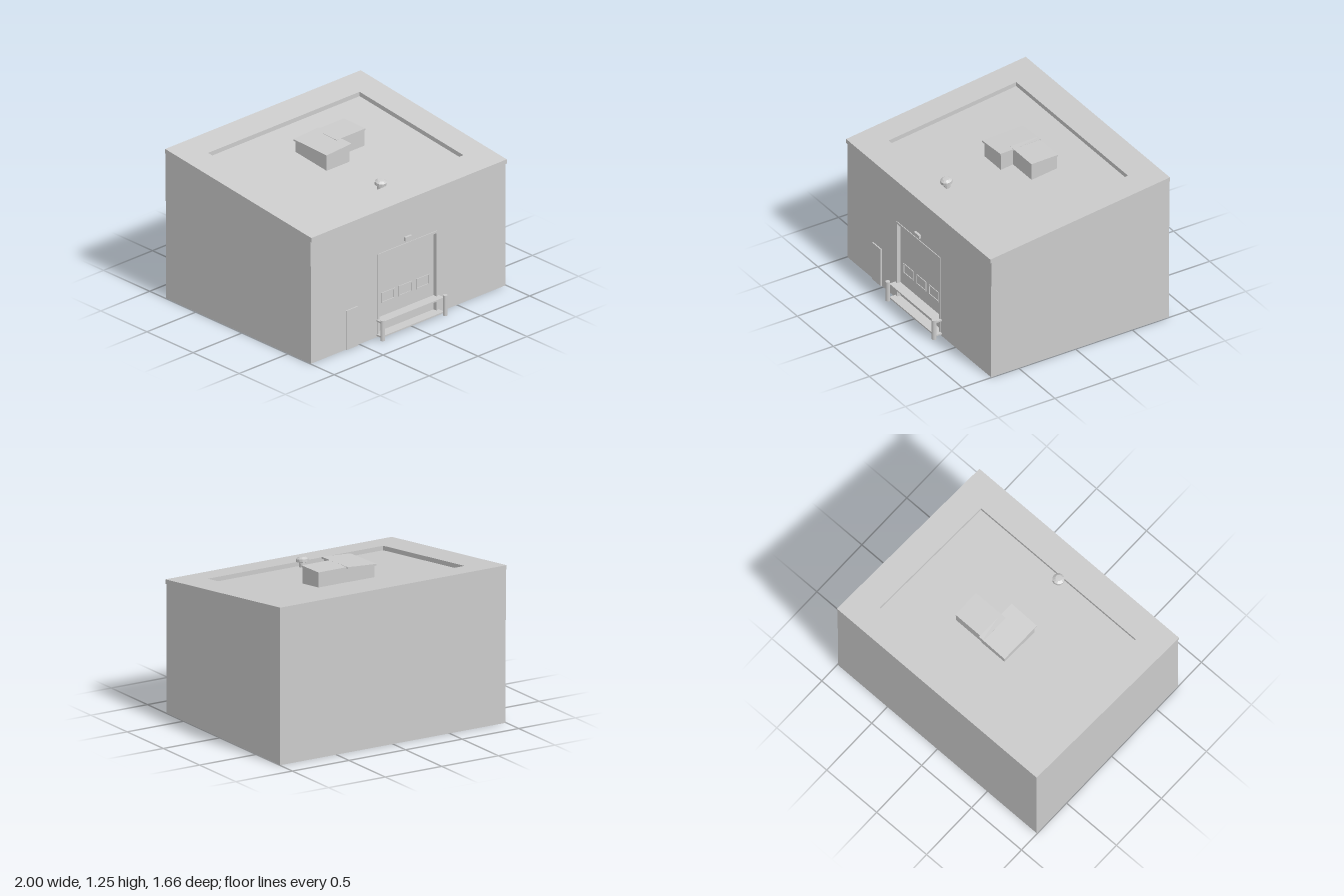
import * as THREE from 'three';

const FRONT = 0.742, BACK = -0.83, SPLIT = 0.8, SLAB = 0.035;
const SLOPE = 0.1194;
const roofY = (z) => 1.04 + SLOPE * (0.745 - z);

export function createModel() {
  const model = new THREE.Group();
  const grey = new THREE.MeshStandardMaterial({ color: 0xcccccc, flatShading: true });
  const thin = new THREE.MeshStandardMaterial({ color: 0xcccccc, flatShading: true, side: THREE.DoubleSide });

  const add = (name, geometry, material = grey, parent = model) => {
    const mesh = new THREE.Mesh(geometry, material);
    mesh.name = name;
    parent.add(mesh);
    return mesh;
  };
  // Box given by its limits on each axis
  const boxGeo = (x0, x1, y0, y1, z0, z1) =>
    new THREE.BoxGeometry(x1 - x0, y1 - y0, z1 - z0)
      .translate((x0 + x1) / 2, (y0 + y1) / 2, (z0 + z1) / 2);
  const box = (name, ...limits) => add(name, boxGeo(...limits));
  // Move each vertex to a new height given by rule(x, y, z)
  const reshapeY = (geometry, rule) => {
    const p = geometry.attributes.position;
    for (let i = 0; i < p.count; i++) p.setY(i, rule(p.getX(i), p.getY(i), p.getZ(i)));
    geometry.computeVertexNormals();
    return geometry;
  };
  const outline = (points, Type = THREE.Shape) =>
    new Type(points.map(([x, y]) => new THREE.Vector2(x, y)));

  // Lower walls: thin, open underneath, with a notch for the loading door
  const W = 0.996;
  add('frontWall', new THREE.ShapeGeometry(outline([
    [-W, 0], [-0.3, 0], [-0.3, 0.66], [0.285, 0.66], [0.285, 0], [W, 0], [W, SPLIT], [-W, SPLIT],
  ])).translate(0, 0, FRONT), thin);
  add('backWall', new THREE.PlaneGeometry(2 * W, SPLIT)
    .rotateY(Math.PI).translate(0, SPLIT / 2, BACK + 0.004), thin);
  for (const s of [1, -1]) {
    add(s > 0 ? 'leftWall' : 'rightWall', new THREE.PlaneGeometry(FRONT - BACK - 0.004, SPLIT)
      .rotateY(s * Math.PI / 2).translate(s * W, SPLIT / 2, (FRONT + BACK + 0.004) / 2), thin);
  }

  // Upper storey, its top following the roof pitch
  add('upperBlock', reshapeY(boxGeo(-0.998, 0.998, SPLIT, 1, BACK + 0.001, FRONT),
    (x, y, z) => (y > 0.9 ? roofY(z) - SLAB : y)));

  // Sloping roof rim around a sunken panel
  const rim = outline([[-1, -0.752], [1, -0.752], [1, 0.832], [-1, 0.832]]);
  rim.holes.push(outline([[-0.775, -0.52], [-0.775, 0.605], [0.775, 0.605], [0.775, -0.52]], THREE.Path));
  const rimGeo = new THREE.ExtrudeGeometry(rim, { depth: SLAB, bevelEnabled: false }).rotateX(-Math.PI / 2);
  add('roofRim', reshapeY(rimGeo, (x, y, z) => roofY(z) - SLAB + y));

  // Loading door, set back in its frame, with three window panels
  box('loadingDoor', -0.3, 0.285, 0.15, 0.66, 0.7, 0.718);
  box('loadingDoorBase', -0.3, 0.285, 0, 0.15, 0.71, 0.718);
  const frame = outline([
    [-0.312, 0], [-0.298, 0], [-0.298, 0.662], [0.283, 0.662], [0.283, 0],
    [0.297, 0], [0.297, 0.68], [-0.312, 0.68],
  ]);
  add('doorFrame', new THREE.ExtrudeGeometry(frame, { depth: 0.05, bevelEnabled: false }).translate(0, 0, 0.698));
  for (const x of [-0.185, -0.008, 0.169]) {
    const window = new THREE.Group();
    window.name = 'doorWindow';
    model.add(window);
    const trim = outline([[-0.068, -0.042], [0.068, -0.042], [0.068, 0.042], [-0.068, 0.042]]);
    trim.holes.push(outline([[-0.06, -0.034], [-0.06, 0.034], [0.06, 0.034], [0.06, -0.034]], THREE.Path));
    add('windowTrim', new THREE.ExtrudeGeometry(trim, { depth: 0.03, bevelEnabled: false })
      .translate(x, 0.292, 0.694), grey, window);
  }

  // Side door and lamp
  box('sideDoor', -0.638, -0.52, 0, 0.322, 0.732, 0.752);
  box('lamp', -0.044, 0.024, 0.705, 0.735, 0.735, 0.762);

  // Loading dock: two shelves between bollards
  for (const y of [0.02, 0.137]) box('dockShelf', -0.326, 0.313, y - 0.006, y + 0.006, 0.71, 0.8);
  for (const x of [-0.326, 0.314]) {
    add('bollard', new THREE.CylinderGeometry(0.018, 0.018, 0.166, 16)).position.set(x, 0.083, 0.812);
  }

  // Roof units: boxes seated on the sunken panel, with thin lids
  const roofUnit = (name, x0, x1, z0, z1, top, lip) => {
    const unit = new THREE.Group();
    unit.name = name;
    model.add(unit);
    add('unitBody', reshapeY(boxGeo(x0 + lip, x1 - lip, 0, 1, z0 + lip, z1 - lip),
      (x, y, z) => (y > 0.5 ? top(x, z) - 0.012 : roofY(z) - SLAB - 0.01)), grey, unit);
    add('unitLid', reshapeY(boxGeo(x0, x1, 0, 0.014, z0, z1),
      (x, y, z) => top(x, z) - 0.014 + y), grey, unit);
  };
  roofUnit('lowRoofUnit', -0.195, 0.06, -0.295, 0.065,
    (x, z) => 1.222 + 0.06 * (x + 0.195) + 0.03 * (0.065 - z), 0.012);
  roofUnit('highRoofUnit', 0.015, 0.31, -0.282, -0.05, (x, z) => 1.241 + 0.02 * (-0.05 - z), 0.004);

  // Roof vent, square to the roof
  const vent = new THREE.Group();
  vent.name = 'roofVent';
  vent.position.set(-0.035, roofY(0.475) - SLAB - 0.005, 0.475);
  vent.rotation.x = Math.atan(SLOPE);
  model.add(vent);
  const ventProfile = [[0, 0], [0.026, 0], [0.026, 0.04], [0.046, 0.046], [0.046, 0.068], [0.026, 0.082], [0, 0.083]];
  add('ventCap', new THREE.LatheGeometry(ventProfile.map(([r, y]) => new THREE.Vector2(r, y)), 12), grey, vent);

  return model;
}
